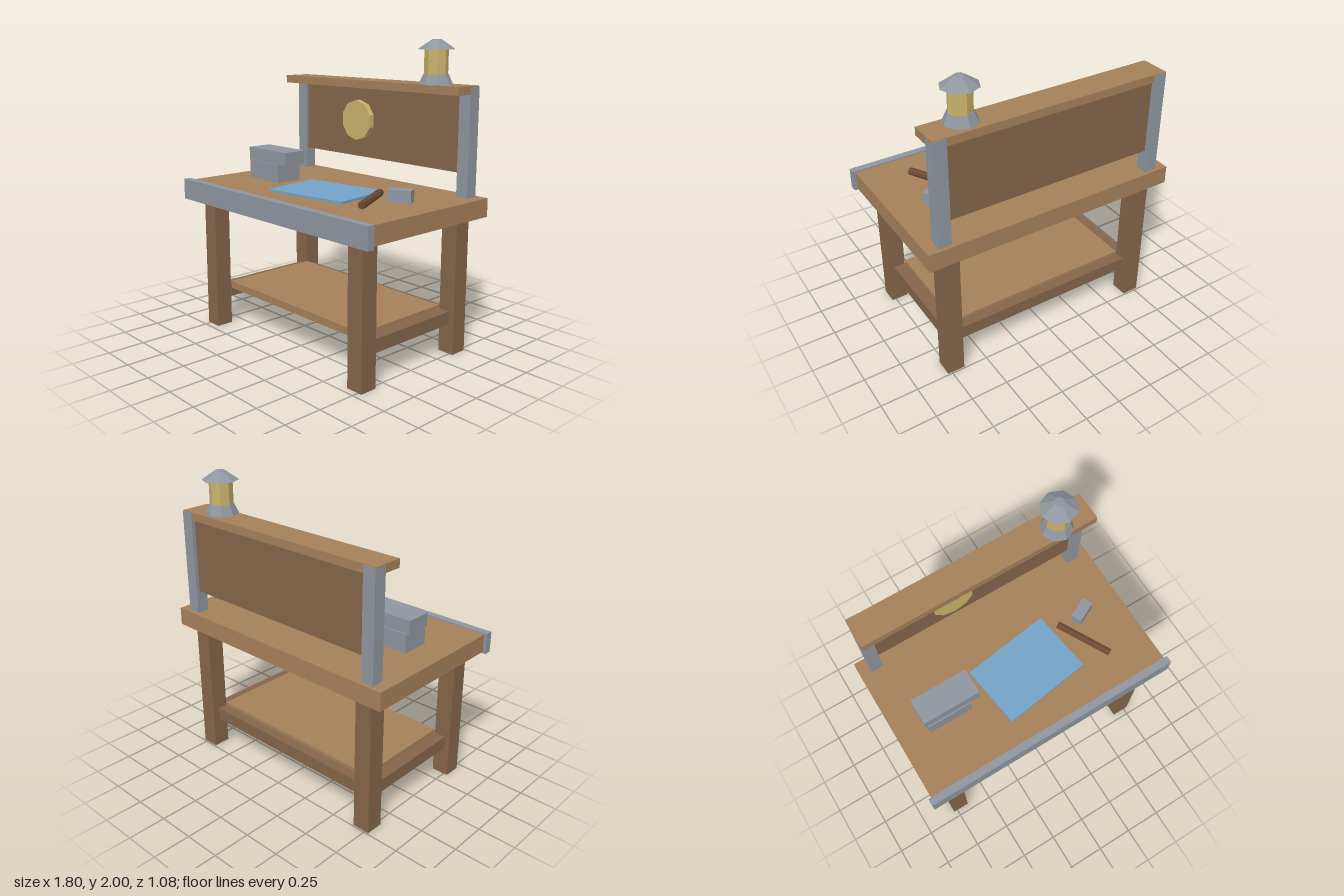
import * as THREE from 'three';

export function createModel() {
  const group = new THREE.Group();
  group.name = 'workbench';

  const mat = (name, color) => {
    const m = new THREE.MeshStandardMaterial({ color, flatShading: true });
    m.name = name;
    return m;
  };
  const lightWood = mat('lightWood', 0xa5805a);
  const darkWood = mat('darkWood', 0x84654a);
  const handleWood = mat('handleWood', 0x6b4a32);
  const steel = mat('steel', 0x8f969f);
  const paperBlue = mat('paperBlue', 0x74a2c8);
  const brass = mat('brass', 0xc9b26b);

  const add = (name, geometry, material, parent = group) => {
    const mesh = new THREE.Mesh(geometry, material);
    mesh.name = name;
    parent.add(mesh);
    return mesh;
  };
  // Box given by its extents along each axis
  const box = (name, material, x0, x1, y0, y1, z0, z1) => {
    const mesh = add(name, new THREE.BoxGeometry(x1 - x0, y1 - y0, z1 - z0), material);
    mesh.position.set((x0 + x1) / 2, (y0 + y1) / 2, (z0 + z1) / 2);
    return mesh;
  };

  // Tabletop and front metal edge
  box('tabletop', lightWood, -0.88, 0.88, 0.91, 1.03, -0.54, 0.49);
  box('frontEdge', steel, -0.9, 0.9, 0.9, 1.04, 0.49, 0.54);

  // Legs, side stretchers and back posts, mirrored
  for (const s of [-1, 1]) {
    const side = s > 0 ? 'left' : 'right';
    const mirrored = (name, material, a, b, ...rest) =>
      box(side + name, material, Math.min(s * a, s * b), Math.max(s * a, s * b), ...rest);
    mirrored('FrontLeg', darkWood, 0.66, 0.777, 0, 0.91, 0.338, 0.455);
    mirrored('BackLeg', darkWood, 0.66, 0.777, 0, 0.91, -0.49, -0.373);
    mirrored('Stretcher', darkWood, 0.65, 0.74, 0.2, 0.287, -0.373, 0.338);
    mirrored('BackPost', steel, 0.718, 0.803, 1.03, 1.72, -0.515, -0.43);
  }

  // Lower shelf and back stretcher
  box('backStretcher', darkWood, -0.66, 0.66, 0.2, 0.287, -0.44, -0.355);
  box('lowerShelf', lightWood, -0.655, 0.655, 0.26, 0.31, -0.373, 0.338);

  // Back panel and top shelf
  box('backPanel', darkWood, -0.718, 0.718, 1.18, 1.67, -0.49, -0.45);
  box('topShelf', lightWood, -0.803, 0.803, 1.672, 1.725, -0.51, -0.313);

  // Round brass plate on the back panel
  const plate = add('roundPlate', new THREE.CylinderGeometry(0.14, 0.14, 0.04, 10), brass);
  plate.rotation.x = Math.PI / 2;
  plate.position.set(-0.165, 1.438, -0.43);

  // Lantern on the top shelf
  const lantern = new THREE.Group();
  lantern.name = 'lantern';
  lantern.position.set(0.562, 0, -0.388);
  group.add(lantern);
  for (const [name, top, bottom, y0, y1, material] of [
    ['lanternBase', 0.078, 0.107, 1.725, 1.79, steel],
    ['lanternGlass', 0.075, 0.075, 1.79, 1.94, brass],
    ['lanternRoof', 0.03, 0.117, 1.94, 2.0, steel],
  ]) {
    add(name, new THREE.CylinderGeometry(top, bottom, y1 - y0, 8), material, lantern)
      .position.y = (y0 + y1) / 2;
  }

  // Vise block
  box('viseBase', steel, -0.68, -0.373, 1.03, 1.155, -0.065, 0.128);
  box('viseTop', steel, -0.697, -0.305, 1.155, 1.245, -0.055, 0.12);

  // Paper plan
  const plan = add('plan', new THREE.BoxGeometry(0.607, 0.016, 0.432), paperBlue);
  plan.position.set(0.067, 1.038, 0.084);
  plan.rotation.y = 0.142;

  // Hammer: handle and head
  const handle = add('hammerHandle', new THREE.CylinderGeometry(0.025, 0.025, 0.388, 8), handleWood);
  handle.rotation.set(Math.PI / 2, 0, -0.49);
  handle.position.set(0.497, 1.06, 0.106);
  const head = add('hammerHead', new THREE.BoxGeometry(0.15, 0.08, 0.075), steel);
  head.position.set(0.587, 1.07, -0.058);
  head.rotation.y = 0.46;

  return group;
}
